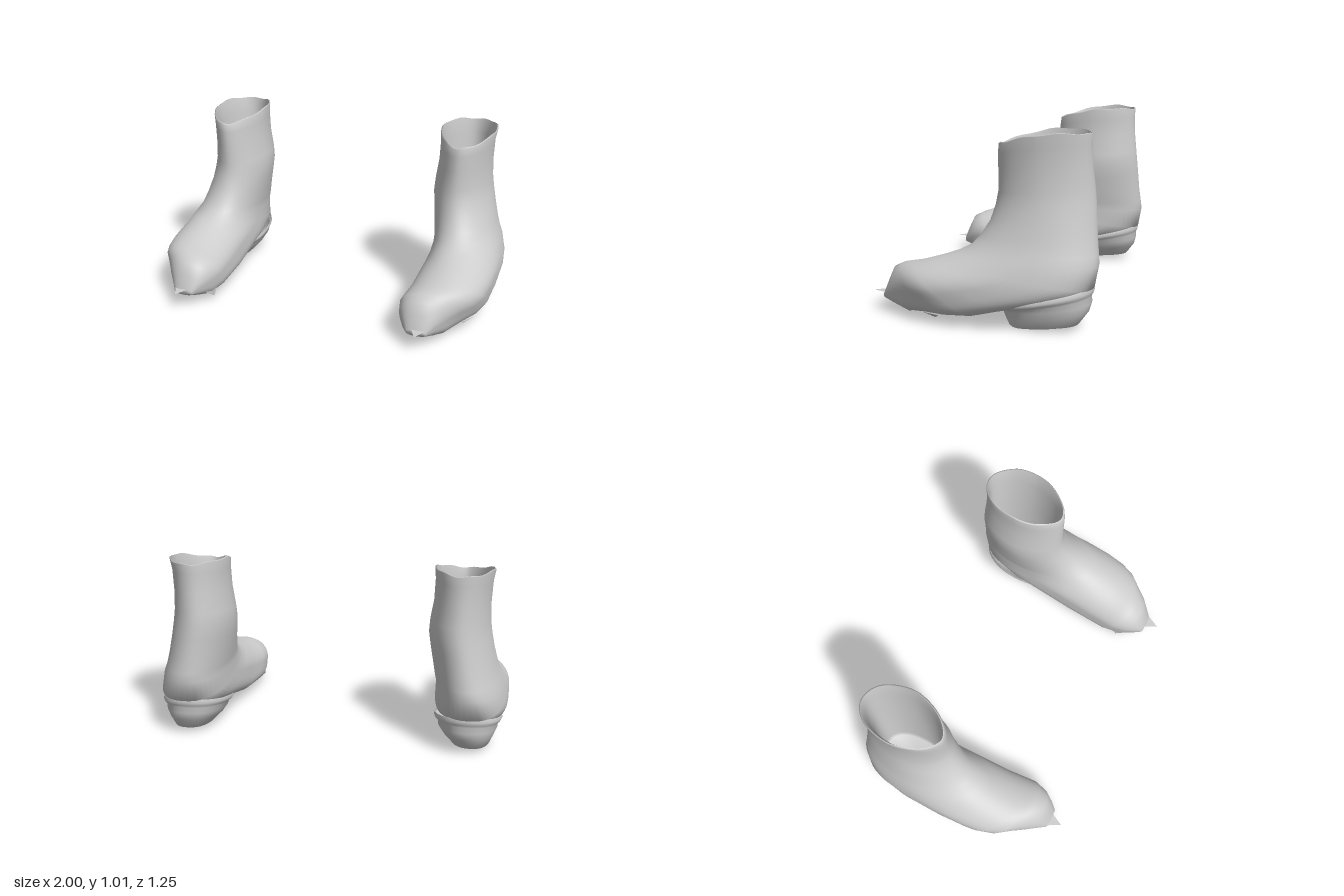
import * as THREE from 'three';

const leather = new THREE.MeshStandardMaterial({ color: 0xcccccc, side: THREE.DoubleSide });
leather.name = 'pale grey leather';

const SIDES = 48;

// Skins a stack of tilted oval sections.
// Section: [front z, front y, back z, back y, inner x, outer x, rear power, front power, side rise]
// Powers under 1 square the oval off, powers over 1 make it pointed.
function loft(name, sections, side) {
  const pos = [], index = [];
  for (const [az, ay, bz, by, x0, x1, rear = 1, front = 1, rise = 0] of sections) {
    for (let j = 0; j < SIDES; j++) {
      const t = (j / SIDES) * Math.PI * 2;
      const power = Math.cos(t) < 0 ? rear : front;
      const c = Math.sign(Math.cos(t)) * Math.abs(Math.cos(t)) ** power;
      const s = Math.sign(Math.sin(t)) * Math.abs(Math.sin(t)) ** power;
      pos.push(
        side * ((x0 + x1) / 2 + s * (x1 - x0) / 2),
        (ay + by) / 2 + c * (ay - by) / 2 + rise * (Math.sin(t) ** 2 + 0.12 * Math.sin(7 * t)),
        (az + bz) / 2 + c * (az - bz) / 2);
    }
  }
  for (let i = 0; i < sections.length - 1; i++) {
    for (let j = 0; j < SIDES; j++) {
      const a = i * SIDES + j, b = i * SIDES + (j + 1) % SIDES;
      const c = a + SIDES, d = b + SIDES;
      if (side > 0) index.push(a, c, b, b, c, d);
      else index.push(a, b, c, b, d, c);
    }
  }
  const geo = new THREE.BufferGeometry();
  geo.setAttribute('position', new THREE.Float32BufferAttribute(pos, 3));
  geo.setIndex(index);
  geo.computeVertexNormals();
  const mesh = new THREE.Mesh(geo, leather);
  mesh.name = name;
  return mesh;
}

// Thin torn flap of leather
function flap(name, points, side) {
  const geo = new THREE.BufferGeometry();
  const p = points.map(([x, y, z]) => [x * side, y, z]);
  if (side < 0) p.reverse();
  geo.setAttribute('position', new THREE.Float32BufferAttribute(p.flat(), 3));
  geo.computeVertexNormals();
  const mesh = new THREE.Mesh(geo, leather);
  mesh.name = name;
  return mesh;
}

// Insole and tapering lining up to the rim
const LINING = [
  [-0.35, 0.2, -0.35, 0.2, 0.745, 0.745],
  [-0.18, 0.2, -0.52, 0.2, 0.645, 0.85, 0.9, 0.7],
  [-0.165, 0.24, -0.53, 0.24, 0.635, 0.855, 0.95, 0.8],
  [-0.13, 0.6, -0.55, 0.64, 0.605, 0.865, 1.08, 1.1],
  [-0.115, 0.88, -0.56, 0.92, 0.6, 0.872, 1.05, 1.15],
  [-0.1, 0.942, -0.57, 1.003, 0.585, 0.893, 1, 1.15, 0.03],
];

// Rim, shaft, then sections fanning around the instep to the toe
const UPPER = [
  [-0.1, 0.942, -0.57, 1.003, 0.585, 0.893, 1, 1.15, 0.03],
  [-0.09, 0.935, -0.577, 1.0, 0.576, 0.9, 1, 1.15, 0.03],
  [-0.085, 0.89, -0.573, 0.95, 0.58, 0.888, 1, 1.12, 0.012],
  [-0.085, 0.80, -0.578, 0.84, 0.575, 0.882, 1.02, 1.1],
  [-0.083, 0.69, -0.59, 0.73, 0.557, 0.885, 1.05, 1.08],
  [-0.07, 0.62, -0.597, 0.66, 0.552, 0.895, 1.05, 1.06],
  [-0.045, 0.54, -0.603, 0.58, 0.562, 0.91, 1.05, 1.05],
  [0.0, 0.465, -0.61, 0.48, 0.576, 0.93, 1.02],
  [0.05, 0.41, -0.62, 0.39, 0.588, 0.95, 0.98],
  [0.12, 0.375, -0.624, 0.34, 0.595, 0.97, 0.93],
  [0.19, 0.35, -0.602, 0.225, 0.59, 0.99, 0.8],
  [0.25, 0.332, -0.45, 0.165, 0.585, 1.0, 0.6],
  [0.30, 0.316, -0.2, 0.11, 0.58, 1.0, 0.5],
  [0.35, 0.302, 0.0, 0.06, 0.575, 0.99, 0.48],
  [0.40, 0.29, 0.15, 0.047, 0.567, 0.96, 0.48],
  [0.45, 0.275, 0.28, 0.038, 0.56, 0.9, 0.5],
  [0.50, 0.25, 0.40, 0.025, 0.58, 0.845, 0.55],
  [0.53, 0.185, 0.49, 0.05, 0.615, 0.8, 0.6],
  [0.56, 0.11, 0.55, 0.07, 0.65, 0.765, 0.8],
  [0.555, 0.09, 0.555, 0.09, 0.71, 0.71],
];

// Slim lip, waist, base worn away on the inner side, and its hollow
const HEEL = [
  [-0.08, 0.115, -0.598, 0.235, 0.6, 0.965, 0.88],
  [-0.075, 0.108, -0.603, 0.215, 0.595, 0.972, 0.88],
  [-0.085, 0.1, -0.597, 0.195, 0.602, 0.965, 0.88],
  [-0.11, 0.092, -0.588, 0.18, 0.618, 0.95, 0.88],
  [-0.125, 0.085, -0.59, 0.145, 0.62, 0.948, 0.88],
  [-0.145, 0.045, -0.578, 0.1, 0.65, 0.93, 0.88, 0.9],
  [-0.165, 0.014, -0.53, 0.035, 0.695, 0.91, 0.85, 0.8],
  [-0.18, 0.004, -0.46, 0.022, 0.73, 0.893, 0.85, 0.8],
  [-0.2, 0.03, -0.44, 0.045, 0.74, 0.875, 0.85, 0.8],
  [-0.24, 0.07, -0.42, 0.08, 0.75, 0.85, 0.9, 0.9],
  [-0.32, 0.075, -0.32, 0.075, 0.8, 0.8],
];

// Torn tips at the toe and along the sole edge
const FLAPS = [
  [[0.67, 0.11, 0.535], [0.72, 0.105, 0.63], [0.77, 0.11, 0.535]],
  [[0.57, 0.12, 0.37], [0.59, 0.02, 0.4], [0.62, 0.09, 0.5]],
  [[0.80, 0.06, 0.44], [0.76, 0.012, 0.41], [0.86, 0.06, 0.34]],
  [[0.90, 0.06, 0.28], [0.88, 0.03, 0.22], [0.94, 0.06, 0.18]],
];

function boot(name, side) {
  const group = new THREE.Group();
  group.name = name;
  group.add(loft('lining', LINING, side), loft('upper', UPPER, side), loft('heel', HEEL, side));
  FLAPS.forEach((points, i) => group.add(flap('tornEdge' + (i + 1), points, side)));
  return group;
}

export function createModel() {
  const model = new THREE.Group();
  model.name = 'pairOfBoots';
  model.add(boot('leftBoot', 1), boot('rightBoot', -1));
  return model;
}
